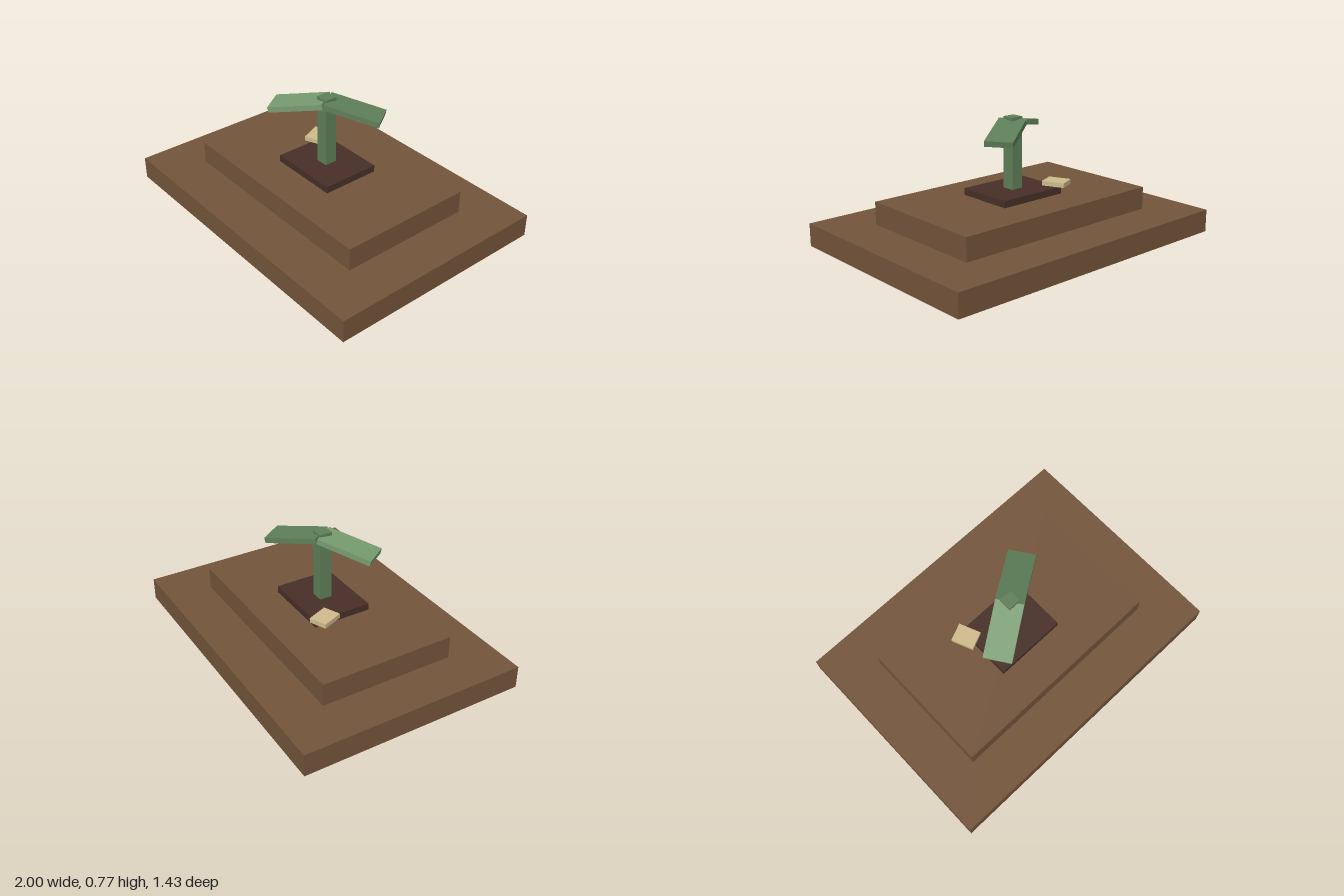
import * as THREE from 'three';

const material = (name, color) => {
  const m = new THREE.MeshStandardMaterial({ color });
  m.name = name;
  return m;
};

export function createModel() {
  const wood = material('brown wood', 0x73543a);
  const soil = material('dark soil', 0x472f27);
  const green = material('stem green', 0x5e7f58);
  const lightGreen = material('light leaf green', 0x779b6f);
  const tan = material('tan', 0xcdbb8b);

  const model = new THREE.Group();
  model.name = 'plantedSprout';

  // Box resting on height y
  const box = (name, mat, [w, h, d], [x, y, z], parent = model) => {
    const mesh = new THREE.Mesh(new THREE.BoxGeometry(w, h, d), mat);
    mesh.name = name;
    mesh.position.set(x, y + h / 2, z);
    parent.add(mesh);
    return mesh;
  };

  // Stepped base and soil bed
  box('lowerBase', wood, [2, 0.143, 1.429], [0, 0, 0]);
  box('upperBase', wood, [1.429, 0.143, 0.857], [0, 0.143, 0]);
  box('soilBed', soil, [0.457, 0.043, 0.371], [0, 0.286, 0]);

  // Tag lying over the corner of the bed
  box('tag', tan, [0.114, 0.029, 0.143], [-0.244, 0.329, -0.131]).rotation.y = 0.4;

  // Stem
  box('stem', green, [0.08, 0.442, 0.08], [0, 0.329, 0]);

  // Two opposite leaves drooping away from the stem
  [['leftLeaf', green, 0.6], ['rightLeaf', lightGreen, 0.6 + Math.PI]].forEach(([name, mat, turn]) => {
    const pivot = new THREE.Group();
    pivot.name = name + 'Pivot';
    pivot.rotation.y = turn;
    box(name, mat, [0.343, 0.035, 0.17], [0.171, 0.69, 0], pivot).rotation.z = -0.2;
    model.add(pivot);
  });

  return model;
}
